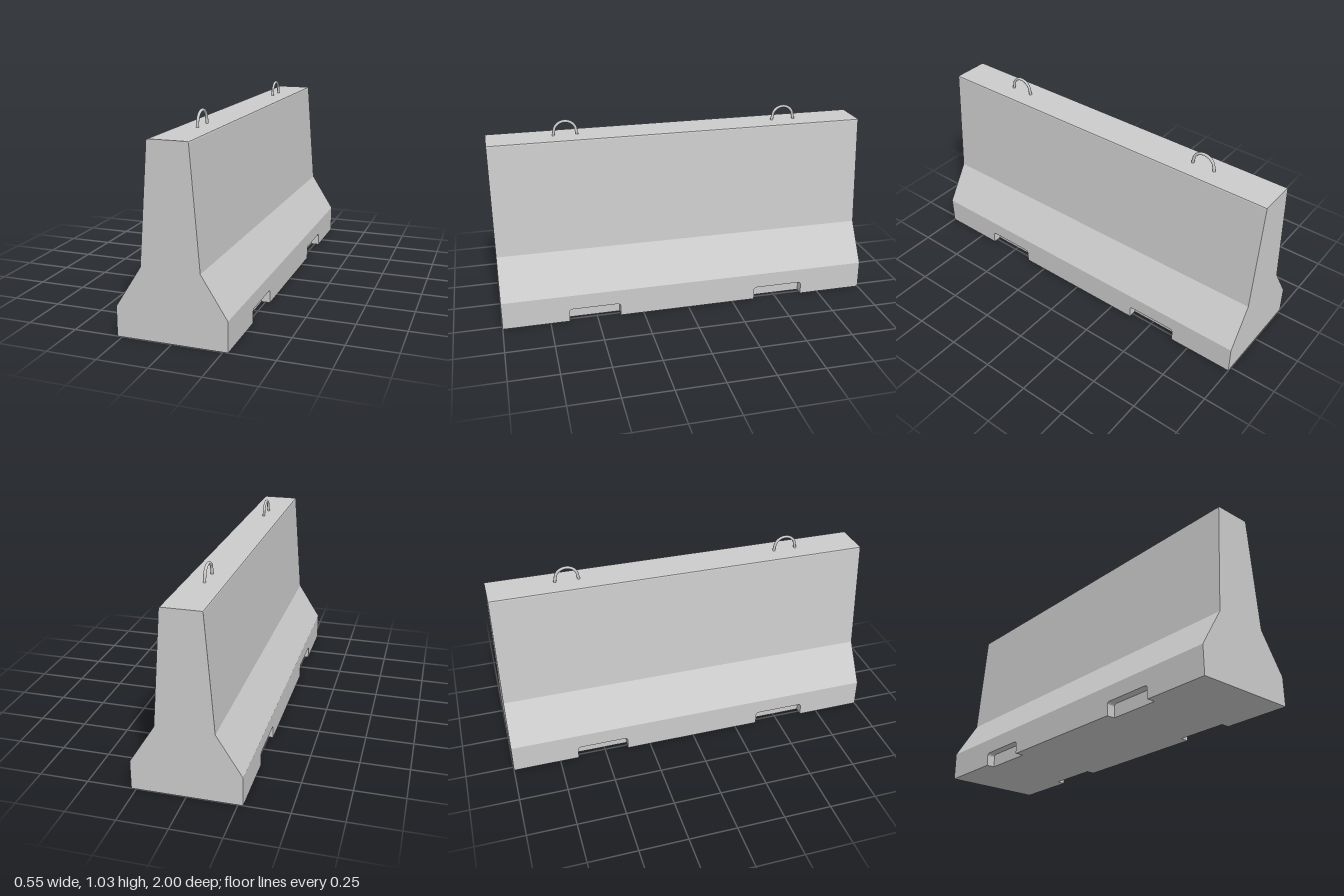
import * as THREE from 'three';

const material = new THREE.MeshStandardMaterial({ color: 0xcccccc });
const HALF = 1, WIDE = 0.275, INNER = 0.23, RADIUS = 0.015, NOTCH_H = 0.07;

// Upper right half of the barrier profile, from the skirt to the bevelled crown
const upper = [[WIDE, 0.15], [0.146, 0.355], [0.1, 0.939], [0.098, 0.945], [0.092, 0.947]];

// Closed profile; a notch height above zero cuts a pocket into both lower edges
function section(z, h) {
  const low = h > 0
    ? [[INNER, 0], [INNER, h], [WIDE, h]]
    : [[INNER, 0], [WIDE, 0], [WIDE, NOTCH_H - RADIUS]];
  const right = [...low, ...upper];
  const left = right.map(([x, y]) => [-x, y]).reverse();
  return [...right, ...left].map(([x, y]) => new THREE.Vector3(x, y, z));
}

// Stations along the length; doubled stations form the end walls of the pockets
function stations() {
  const list = [section(HALF, 0)];
  for (const [a, b] of [[0.65, 0.375], [-0.375, -0.65]]) {
    const round = [];
    for (let i = 0; i <= 4; i++) {
      const t = (i / 4) * Math.PI / 2;
      round.push([RADIUS * (1 - Math.cos(t)), NOTCH_H - RADIUS + RADIUS * Math.sin(t)]);
    }
    list.push(section(a, 0));
    round.forEach(([d, h]) => list.push(section(a - d, h)));
    [...round].reverse().forEach(([d, h]) => list.push(section(b + d, h)));
    list.push(section(b, 0));
  }
  list.push(section(-HALF, 0));
  return list;
}

function barrierSides() {
  const rings = stations(), points = [];
  const triangle = (a, b, c) => {
    const area = b.clone().sub(a).cross(c.clone().sub(a)).length();
    if (area > 1e-9) points.push(a, b, c);
  };
  for (let i = 0; i < rings.length - 1; i++) {
    const n = rings[i].length;
    for (let j = 0; j < n; j++) {
      const k = (j + 1) % n;
      const a = rings[i][j], b = rings[i][k], c = rings[i + 1][k], d = rings[i + 1][j];
      triangle(a, d, c);
      triangle(a, c, b);
    }
  }
  const geometry = new THREE.BufferGeometry().setFromPoints(points);
  geometry.computeVertexNormals();
  return geometry;
}

function addMesh(parent, name, geometry) {
  const mesh = new THREE.Mesh(geometry, material);
  mesh.name = name;
  parent.add(mesh);
  return mesh;
}

export function createModel() {
  const model = new THREE.Group();
  model.name = 'roadBarrier';

  // Concrete body with forklift pockets
  const body = new THREE.Group();
  body.name = 'concreteBody';
  model.add(body);
  addMesh(body, 'sides', barrierSides());

  // Flat ends
  const outline = new THREE.Shape(section(0, 0).map((p) => new THREE.Vector2(p.x, p.y)));
  const endGeometry = new THREE.ShapeGeometry(outline);
  addMesh(body, 'frontEnd', endGeometry).position.z = HALF;
  const back = addMesh(body, 'backEnd', endGeometry);
  back.position.z = -HALF;
  back.rotation.y = Math.PI;

  // Steel lifting loops, their feet sunk into the crown
  const path = [new THREE.Vector3(0, 0.925, -0.063), new THREE.Vector3(0, 0.95, -0.061)];
  for (let i = 0; i <= 8; i++) {
    const t = Math.PI * (1 - i / 8);
    path.push(new THREE.Vector3(0, 0.965 + 0.055 * Math.sin(t), 0.058 * Math.cos(t)));
  }
  path.push(new THREE.Vector3(0, 0.95, 0.061), new THREE.Vector3(0, 0.925, 0.063));
  const loop = new THREE.TubeGeometry(new THREE.CatmullRomCurve3(path), 40, 0.0075, 10);
  for (const [name, z] of [['frontLiftingLoop', 0.595], ['backLiftingLoop', -0.595]]) {
    addMesh(model, name, loop).position.z = z;
  }
  return model;
}
